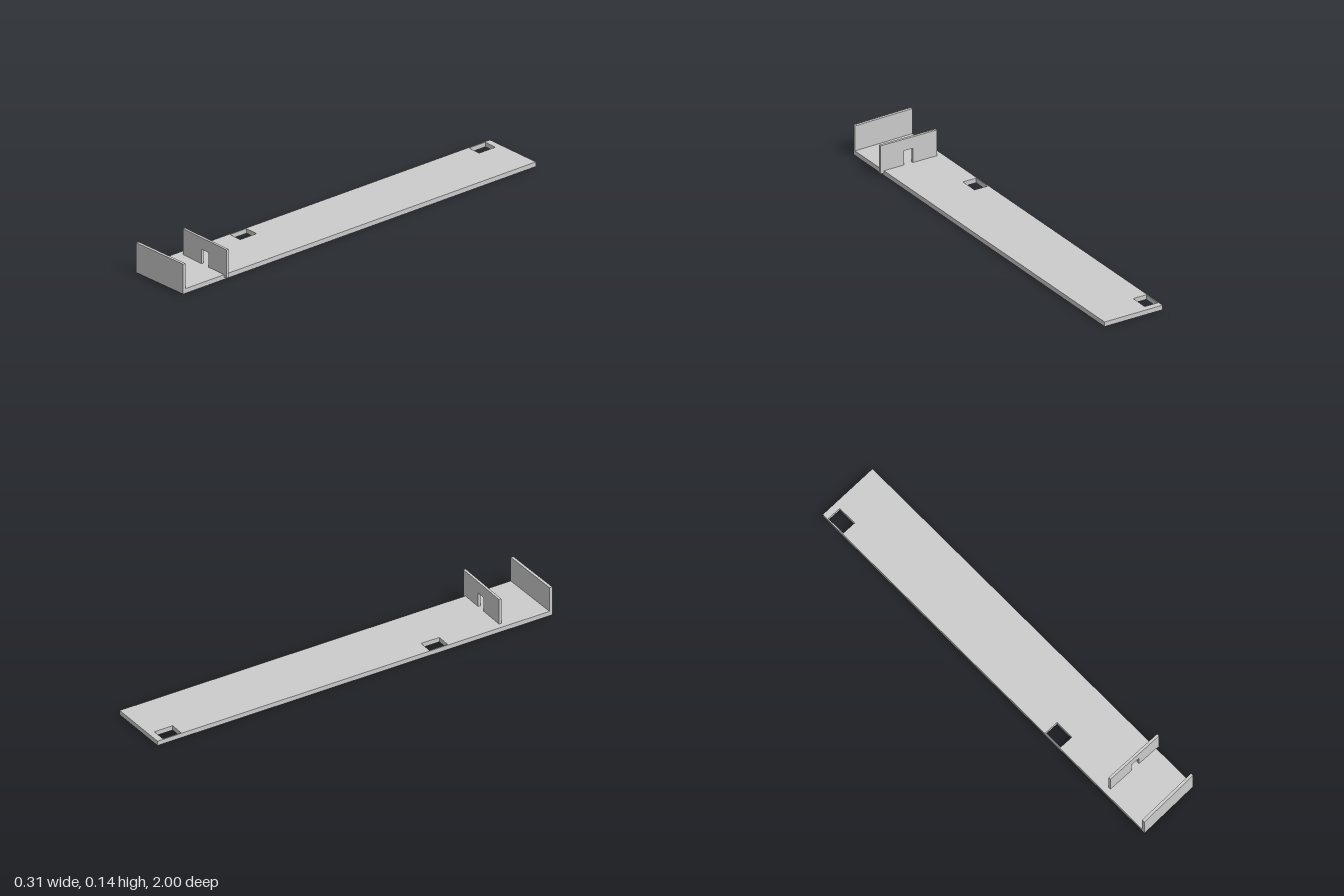
import * as THREE from 'three';

const material = new THREE.MeshStandardMaterial({ color: 0xcccccc, flatShading: true });

const polygon = (Type, points) => new Type(points.map(([x, y]) => new THREE.Vector2(x, y)));

const extrude = (shape, depth) =>
  new THREE.ExtrudeGeometry(shape, { depth, bevelEnabled: false });

// Plan outline given as [x, z], extruded upwards from y = 0
function slab(name, outline, height, holes = []) {
  const flip = (pts) => pts.map(([x, z]) => [x, -z]);
  const shape = polygon(THREE.Shape, flip(outline));
  shape.holes = holes.map((h) => polygon(THREE.Path, flip(h)));
  const mesh = new THREE.Mesh(extrude(shape, height).rotateX(-Math.PI / 2), material);
  mesh.name = name;
  return mesh;
}

export function createModel() {
  const model = new THREE.Group();
  model.name = 'slottedTray';
  const left = 0.14, right = -0.158;

  // Long base board with two square holes close to one edge
  const holes = [-0.92, 0.428].map((z) => [
    [-0.153, z - 0.046], [-0.086, z - 0.046], [-0.086, z + 0.046], [-0.153, z + 0.046],
  ]);
  model.add(slab('baseBoard',
    [[right, 0.986], [left, 0.977], [left, -1], [right, -0.996]], 0.022, holes));

  // Upright end plate, slightly skewed across the board
  model.add(slab('endPlate',
    [[right, 1], [left, 0.99], [left, 0.977], [right, 0.986]], 0.141));

  // Thin divider, offset sideways, with a notch open at the bottom
  const divider = new THREE.Mesh(extrude(polygon(THREE.Shape, [
    [-0.13, 0.011], [-0.007, 0.011], [-0.007, 0.09], [0.038, 0.09],
    [0.038, 0.011], [0.157, 0.011], [0.157, 0.145], [-0.13, 0.145],
  ]), 0.012), material);
  divider.name = 'notchedDivider';
  divider.position.z = 0.748;
  model.add(divider);

  return model;
}
